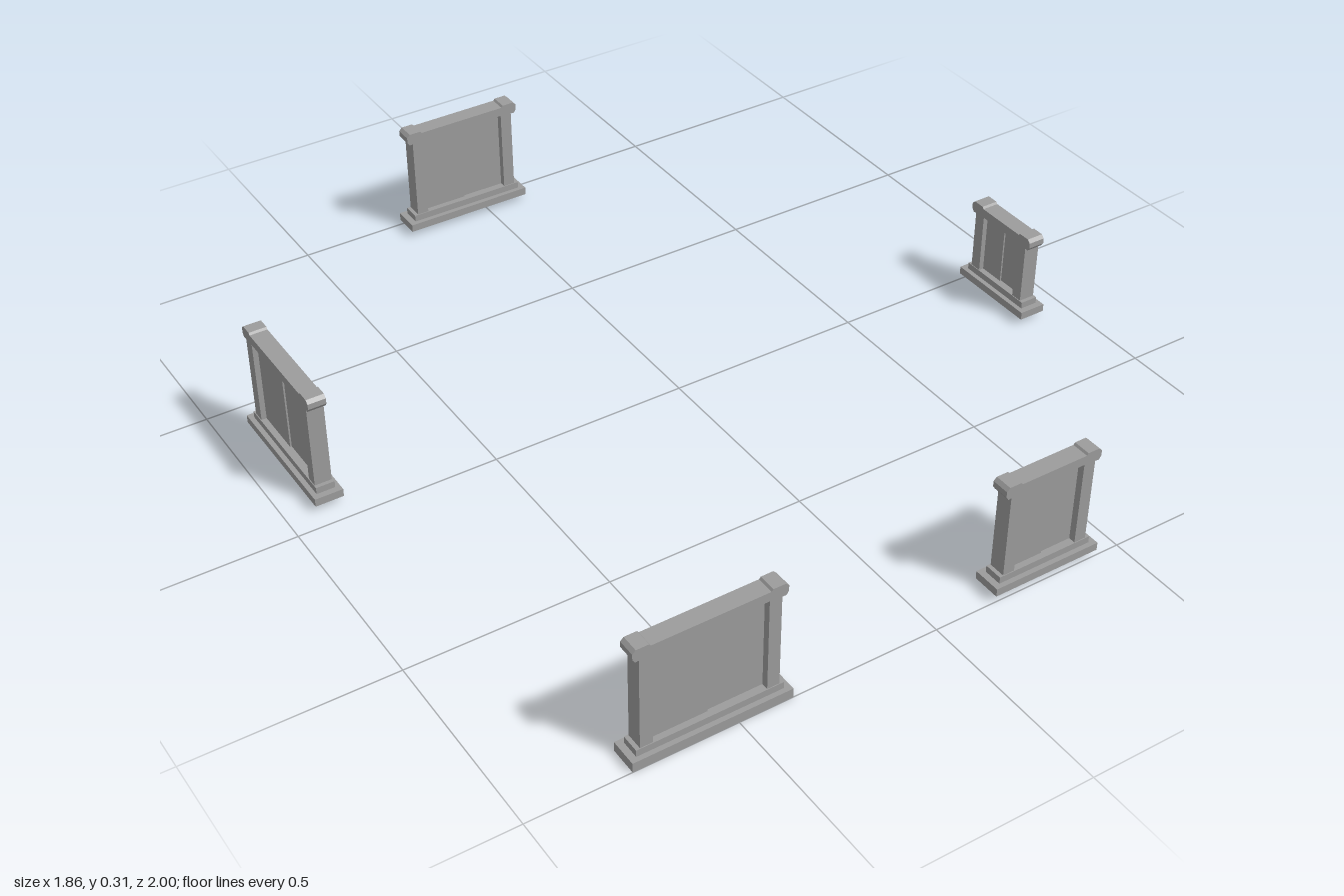
import * as THREE from 'three';

const stone = new THREE.MeshStandardMaterial({ color: 0x9c9c9c });
stone.name = 'grey';

function box(parent, name, x0, x1, y0, y1, depth, z = 0) {
  const mesh = new THREE.Mesh(new THREE.BoxGeometry(x1 - x0, y1 - y0, depth), stone);
  mesh.position.set((x0 + x1) / 2, (y0 + y1) / 2, z);
  mesh.name = name;
  parent.add(mesh);
}

// Straight head beam with a chamfered, slightly taller block at each end
function lintelGeometry(half, y0, y1, depth) {
  const c = 0.006, e = 0.042, rise = 0.005;
  const right = [
    [half - e, y0], [half - c, y0 - 0.003], [half, y0 + c], [half, y1 - c - 0.002],
    [half - c, y1 - 0.002], [half - c - 0.002, y1], [half - e + 0.004, y1], [half - e, y1 - rise],
  ];
  const left = right.map(([x, y]) => [-x, y]).reverse();
  const shape = new THREE.Shape([...right, ...left].map(([x, y]) => new THREE.Vector2(x, y)));
  const geometry = new THREE.ExtrudeGeometry(shape, { depth, bevelEnabled: false });
  geometry.translate(0, 0, -depth / 2);
  return geometry;
}

// One window, centred on its own x and z
function makeWindow({ width, base, top, sill = 0.02 }) {
  const g = new THREE.Group();
  const half = width / 2;
  const outer = half - 0.026, inner = outer - 0.03;
  const depth = 0.042;
  const stepTop = base + sill + 0.017;
  const headBottom = top - 0.028;

  box(g, 'sill', -half, half, base, base + sill, 0.07);
  box(g, 'sillStep', -half + 0.016, half - 0.016, base + sill, stepTop, depth + 0.004);
  for (const s of [-1, 1]) {
    box(g, 'post', Math.min(s * inner, s * outer), Math.max(s * inner, s * outer), stepTop, headBottom + 0.002, depth);
  }
  const lintel = new THREE.Mesh(lintelGeometry(half - 0.011, headBottom, top, depth + 0.002), stone);
  lintel.name = 'lintel';
  g.add(lintel);

  // Two recessed panes, one set just behind the other
  box(g, 'leftPane', -0.001, inner, stepTop, headBottom + 0.003, 0.012, -0.002);
  box(g, 'rightPane', -inner, 0.001, stepTop, headBottom + 0.003, 0.012, 0.002);
  return g;
}

export function createModel() {
  const model = new THREE.Group();
  model.name = 'windowSet';
  const windows = [
    { name: 'wideFrontWindow', x: -0.56, z: 0.965, turn: 0, width: 0.385, base: 0, top: 0.308, sill: 0.024 },
    { name: 'narrowFrontWindow', x: 0.3, z: 0.965, turn: 0, width: 0.28, base: 0.015, top: 0.297 },
    { name: 'backWindow', x: -0.06, z: -0.965, turn: Math.PI, width: 0.34, base: 0.015, top: 0.297 },
    { name: 'rightWindow', x: -0.895, z: -0.237, turn: -Math.PI / 2, width: 0.365, base: 0.015, top: 0.297 },
    { name: 'leftWindow', x: 0.89, z: 0.118, turn: Math.PI / 2, width: 0.243, base: 0.015, top: 0.238 },
  ];
  for (const w of windows) {
    const g = makeWindow(w);
    g.name = w.name;
    g.position.set(w.x, 0, w.z);
    g.rotation.y = w.turn;
    model.add(g);
  }
  return model;
}
